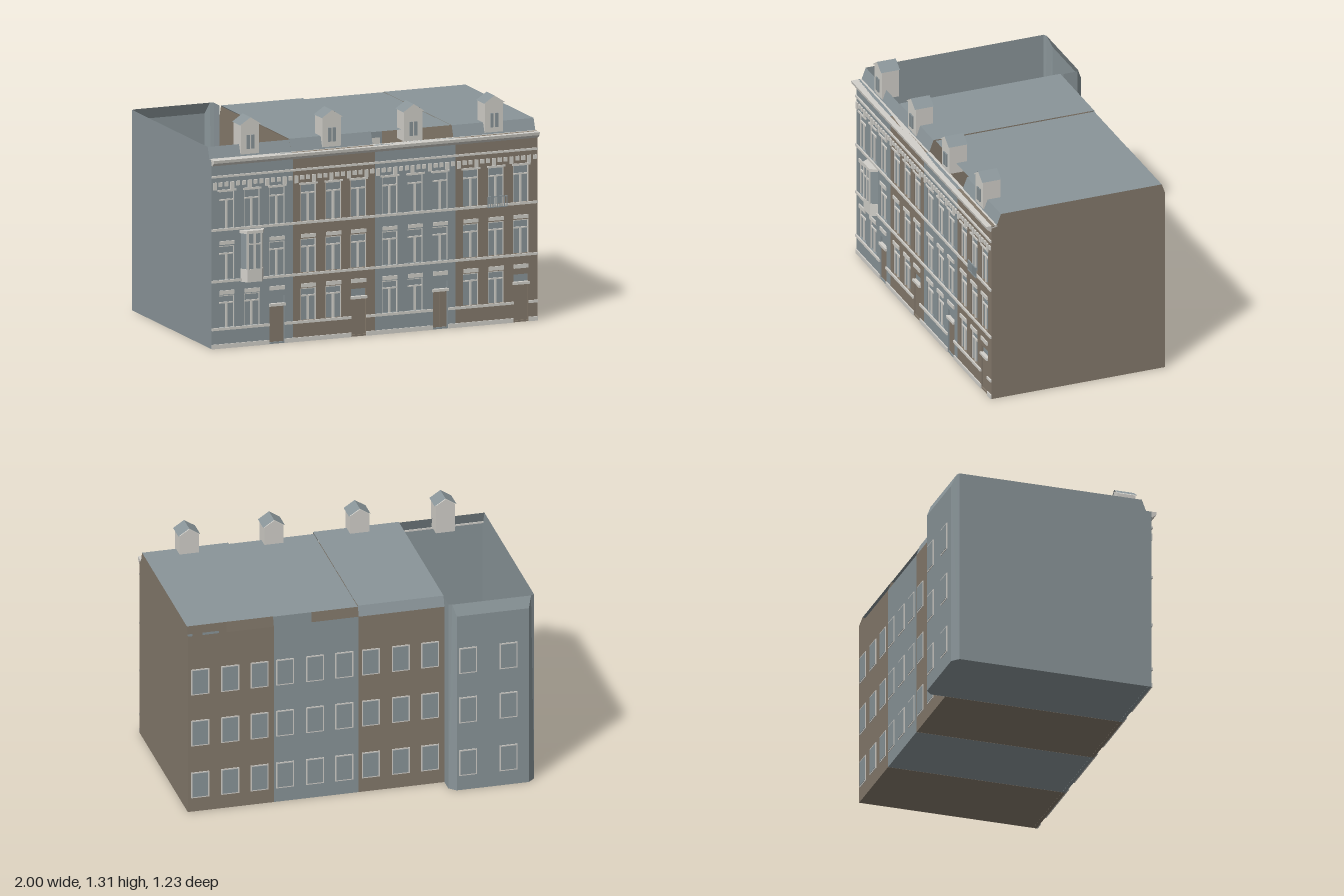
import * as THREE from 'three';

const mat = (name, color) => {
  const m = new THREE.MeshStandardMaterial({ color, side: THREE.DoubleSide, flatShading: true });
  m.name = name;
  return m;
};

export function createModel() {
  const grey = mat('slate grey', 0x8a9599);
  const brown = mat('brick brown', 0x857a6c);
  const trim = mat('pale stone', 0xd2d0ca);
  const model = new THREE.Group();
  model.name = 'terracedHouses';

  const FRONT = 0.567, BACK = -0.49, EAVE = 1.09, TOP = 1.155;

  const add = (parent, name, geo, material) => {
    const m = new THREE.Mesh(geo, material);
    m.name = name;
    parent.add(m);
    return m;
  };
  // Box given by its x, y and z ranges
  const box = (parent, name, material, x0, x1, y0, y1, z0, z1) => {
    const m = add(parent, name, new THREE.BoxGeometry(x1 - x0, y1 - y0, z1 - z0), material);
    m.position.set((x0 + x1) / 2, (y0 + y1) / 2, (z0 + z1) / 2);
    return m;
  };
  // Flat convex panel through its corners
  const panel = (parent, name, material, ...pts) => {
    const g = new THREE.BufferGeometry();
    g.setAttribute('position', new THREE.Float32BufferAttribute(pts.flat(), 3));
    const idx = [];
    for (let i = 1; i < pts.length - 1; i++) idx.push(0, i, i + 1);
    g.setIndex(idx);
    g.computeVertexNormals();
    return add(parent, name, g, material);
  };
  const poly = pts => new THREE.Shape(pts.map(p => new THREE.Vector2(p[0], p[1])));
  const rect = (x0, x1, y0, y1) => [[x0, y0], [x1, y0], [x1, y1], [x0, y1]];
  // Upright wall across the house, outline in (z, y)
  const sideWall = (parent, name, material, x, pts) =>
    add(parent, name, new THREE.ShapeGeometry(poly(pts)).rotateY(-Math.PI / 2), material).position.x = x;
  const section = [[FRONT, 0], [FRONT, EAVE], [0.535, EAVE], [0.51, TOP], [-0.47, TOP], [BACK, 1.1], [BACK, 0]];

  // Recessed sash window: glass, side jambs, transom bar and mullion
  const frontWindow = (parent, cx, y0, y1) => {
    const w = 0.048, t = y0 + (y1 - y0) * 0.74, z = 0.555;
    box(parent, 'windowGlass', grey, cx - w, cx + w, y0, y1, z - 0.008, z - 0.002);
    box(parent, 'windowTransom', trim, cx - w, cx + w, t, t + 0.008, z, z + 0.008);
    box(parent, 'windowMullion', trim, cx - 0.006, cx + 0.006, y0, t, z, z + 0.008);
    box(parent, 'windowHead', trim, cx - w, cx + w, y1 - 0.006, y1, z, z + 0.008);
    for (const s of [-1, 1])
      box(parent, 'windowJamb', trim, cx + s * (w - 0.002) - 0.002, cx + s * (w - 0.002) + 0.002, y0, y1, z, z + 0.008);
  };

  // Rear window: pale frame with glass on top
  const backWindow = (parent, cx, y0, z) => {
    box(parent, 'rearWindowFrame', trim, cx - 0.052, cx + 0.052, y0, y0 + 0.16, z - 0.004, z);
    box(parent, 'rearWindowGlass', grey, cx - 0.045, cx + 0.045, y0 + 0.007, y0 + 0.153, z - 0.006, z - 0.002);
  };

  const dormer = (parent, cx, dy) => {
    const g = new THREE.Group();
    g.name = 'dormer';
    g.position.set(cx, dy, 0);
    parent.add(g);
    const w = 0.056;
    const body = new THREE.ExtrudeGeometry(
      poly([[-w, 1.1], [w, 1.1], [w, 1.27], [0, 1.305], [-w, 1.27]]), { depth: 0.105, bevelEnabled: false });
    add(g, 'dormerBody', body, trim).position.z = 0.432;
    for (const s of [-1, 1]) {
      panel(g, 'dormerRoof', grey, [0, 1.312, 0.43], [0, 1.312, 0.545],
        [s * 0.064, 1.27, 0.545], [s * 0.064, 1.27, 0.43]);
      panel(g, 'dormerGableEdge', trim, [0, 1.312, 0.544], [s * 0.064, 1.27, 0.544],
        [s * 0.056, 1.268, 0.544], [0, 1.302, 0.544]);
      box(g, 'dormerWindow', grey, s * 0.014 - 0.009, s * 0.014 + 0.009, 1.13, 1.21, 0.537, 0.545);
    }
  };

  const houses = [
    { x0: -1, x1: -0.5, wall: grey, top: TOP },
    { x0: -0.5, x1: 0, wall: brown, top: 1.16 },
    { x0: 0, x1: 0.495, wall: grey, top: 1.153 },
    { x0: 0.495, x1: 0.997, wall: brown, top: TOP }
  ];

  houses.forEach(({ x0, x1, wall, top }, h) => {
    const g = new THREE.Group();
    g.name = 'house' + (h + 1);
    model.add(g);
    const bays = [0.092, 0.247, 0.4].map(o => x0 + o);
    const door = bays[2];

    // Front wall with openings
    const front = poly(rect(x0, x1, 0, EAVE));
    const hole = (cx, w, y0, y1) => front.holes.push(new THREE.Path(poly(rect(cx - w, cx + w, y0, y1)).getPoints()));
    const floors = [[0.12, 0.305], [0.395, 0.59], [0.69, 0.905]];
    floors.forEach(([y0, y1], f) => bays.forEach((cx, b) => {
      if (f === 0 && b === 2) return;
      if (h === 0 && f === 1 && b === 1) return;
      hole(cx, 0.048, y0, y1);
      frontWindow(g, cx, y0, y1);
    }));
    hole(door, 0.045, 0.01, 0.275);
    add(g, 'frontWall', new THREE.ExtrudeGeometry(front, { depth: 0.02, bevelEnabled: false }), wall).position.z = FRONT - 0.02;

    // Door with two leaves, lintel and fanlight
    for (const s of [-1, 1])
      box(g, 'doorLeaf', brown, door + s * 0.022 - 0.021, door + s * 0.022 + 0.021, 0.01, 0.215, 0.55, 0.56);
    box(g, 'doorLintel', trim, door - 0.05, door + 0.05, 0.217, 0.232, 0.55, 0.578);
    box(g, 'fanlight', grey, door - 0.045, door + 0.045, 0.232, 0.275, 0.55, 0.556);

    // Stone bands
    for (const [a, b] of [[x0, door - 0.047], [door + 0.047, x1]]) {
      box(g, 'plinth', trim, a, b, 0, 0.025, FRONT, 0.574);
      box(g, 'groundSillBand', trim, a, b, 0.105, 0.12, FRONT, 0.576);
    }
    for (const [y, t] of [[0.38, 0.014], [0.677, 0.014], [0.985, 0.012]])
      box(g, 'stoneBand', trim, x0, x1, y, y + t, FRONT, 0.576);

    // Lintel blocks
    for (const cx of bays) {
      box(g, 'groundLintel', trim, cx - 0.045, cx + 0.045, 0.31, 0.333, FRONT, 0.574);
      box(g, 'middleLintel', trim, cx - 0.045, cx + 0.045, 0.597, 0.618, FRONT, 0.574);
      box(g, 'upperLintel', trim, cx - 0.056, cx + 0.056, 0.904, 0.914, FRONT, 0.574);
    }

    // Frieze of small brackets
    const n = 14, step = (x1 - x0) / n;
    for (let i = 0; i < n; i++) {
      const cx = x0 + step * (i + 0.5);
      box(g, 'friezeBracket', trim, cx - 0.011, cx + 0.011, i % 3 === 0 ? 0.915 : 0.933, 0.958, FRONT, 0.575);
    }

    // Cornice and gutter
    const cornice = new THREE.ExtrudeGeometry(
      poly([[-FRONT, 1.055], [-0.575, 1.055], [-0.597, 1.073], [-0.6, 1.09], [-0.53, 1.09], [-0.53, 1.08], [-FRONT, 1.075]]),
      { depth: x1 - x0, bevelEnabled: false }).rotateY(Math.PI / 2);
    add(g, 'cornice', cornice, trim).position.x = x0;

    // Floor slab
    const zb = h === 0 ? -0.575 : BACK;
    panel(g, 'floor', wall, [x0, 0.001, FRONT], [x1, 0.001, FRONT], [x1, 0.001, zb], [x0, 0.001, zb]);

    // Roof
    if (h !== 2)
      panel(g, 'frontRoofSlope', grey, [x0, EAVE, 0.535], [x1, EAVE, 0.535], [x1, top, 0.51], [x0, top, 0.51]);
    if (h > 0) {
      const zf = h === 2 ? 0.497 : 0.51;
      panel(g, 'flatRoof', grey, [x0, top, zf], [x1, top, zf], [x1, top, -0.47], [x0, top, -0.47]);
      panel(g, 'rearWall', wall, [x1, 0, BACK], [x0, 0, BACK], [x0, 1.1, BACK], [x1, 1.1, BACK]);
      for (const o of [0.085, 0.255, 0.43])
        for (const y of [0.085, 0.41, 0.73]) backWindow(g, x0 + o, y, BACK);
    }
    if (h === 1)
      panel(g, 'rearRoofSlope', grey, [x1, 1.1, BACK], [x0, 1.1, BACK], [x0, top, -0.47], [x1, top, -0.47]);
    if (h > 0) sideWall(g, 'partyWall', brown, x0, section);
    if (h === 3) sideWall(g, 'endWall', brown, x1, section);
    dormer(g, x0 + 0.248, h === 2 ? -0.008 : 0);
  });

  // Deeper, open-topped end house: side walls, cut corners and rear wall
  const end = model.getObjectByName('house1');
  sideWall(end, 'endWall', grey, -1, [...section.slice(0, 4), [-0.575, TOP], [-0.575, 0]]);
  panel(end, 'floorRear', grey, [-1, 0.001, -0.575], [-0.5, 0.001, -0.575], [-0.54, 0.001, -0.612], [-0.96, 0.001, -0.612]);
  panel(end, 'returnWall', grey, [-0.5, 0, BACK], [-0.5, 0, -0.575], [-0.5, TOP, -0.575], [-0.5, TOP, BACK]);
  for (const s of [-1, 1]) {
    const x = o => -0.75 + s * o;
    panel(end, 'cutCorner', grey, [x(0.25), 0, -0.575], [x(0.21), 0, -0.612], [x(0.21), EAVE, -0.612],
      [x(0.23), TOP, -0.585], [x(0.25), TOP, -0.575]);
  }
  panel(end, 'rearWall', grey, [-0.54, 0, -0.612], [-0.96, 0, -0.612], [-0.96, EAVE, -0.612], [-0.54, EAVE, -0.612]);
  panel(end, 'rearRoofSlope', grey, [-0.54, EAVE, -0.612], [-0.96, EAVE, -0.612], [-0.98, TOP, -0.585], [-0.52, TOP, -0.585]);
  for (const cx of [-0.84, -0.605]) for (const y of [0.09, 0.42, 0.73]) backWindow(end, cx, y, -0.612);

  // Bay window with slanted cheeks
  const bay = new THREE.Group();
  bay.name = 'bayWindow';
  bay.position.x = -0.753;
  end.add(bay);
  const bayPart = (name, material, y0, y1, grow) => {
    const s = poly([[-0.07 - grow, -FRONT], [-0.045 - grow, -0.606 - grow], [0.045 + grow, -0.606 - grow], [0.07 + grow, -FRONT]]);
    const geo = new THREE.ExtrudeGeometry(s, { depth: y1 - y0, bevelEnabled: false }).rotateX(-Math.PI / 2);
    add(bay, name, geo, material).position.y = y0;
  };
  bayPart('bayBase', trim, 0.375, 0.45, 0);
  bayPart('bayGlass', grey, 0.45, 0.655, -0.002);
  bayPart('bayRoof', trim, 0.655, 0.672, 0.005);
  for (const x of [-0.042, 0, 0.042]) box(bay, 'bayMullion', trim, x - 0.006, x + 0.006, 0.45, 0.655, 0.603, 0.609);
  box(bay, 'bayTransom', trim, -0.045, 0.045, 0.59, 0.598, 0.603, 0.609);

  // Small balcony railing
  const rail = new THREE.Group();
  rail.name = 'balconyRailing';
  model.add(rail);
  for (const y of [0.675, 0.735]) box(rail, 'railingBar', grey, 0.685, 0.805, y, y + 0.005, 0.58, 0.586);
  for (let i = 0; i < 9; i++) {
    const x = 0.687 + i * 0.0145;
    box(rail, 'railingPost', grey, x - 0.002, x + 0.002, 0.675, 0.738, 0.58, 0.585);
  }
  return model;
}
